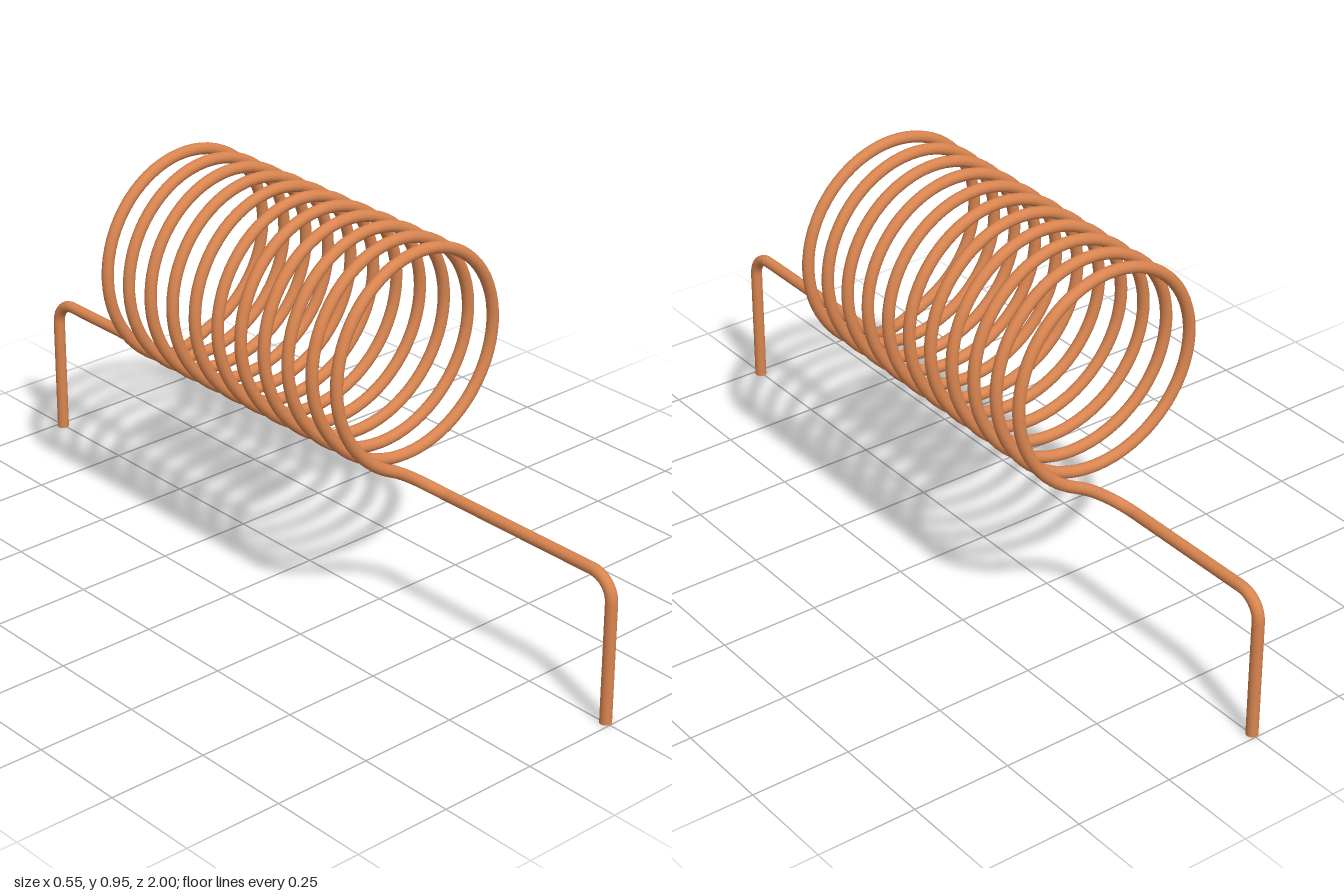
import * as THREE from 'three';

const WIRE = 0.0145;     // wire radius
const R = 0.26;          // coil radius
const AXIS_Y = 0.671;    // height of the coil axis
const TURNS = 11;
const Z_FRONT = 0.404, Z_BACK = -0.492;  // coil ends
const JOIN = THREE.MathUtils.degToRad(24); // angle trimmed from each coil end for the lead
const LEAD_Y = 0.363, LEG_Z = 0.985, BEND = 0.06;

// Point on the helix; angle 0 is the bottom of the front turn
function helixPoint(a, target = new THREE.Vector3()) {
  const t = a / (TURNS * Math.PI * 2);
  return target.set(-R * Math.sin(a), AXIS_Y - R * Math.cos(a), Z_FRONT + (Z_BACK - Z_FRONT) * t);
}

class Helix extends THREE.Curve {
  getPoint(t, target) {
    return helixPoint(JOIN + t * (TURNS * Math.PI * 2 - 2 * JOIN), target);
  }
}

export function createModel() {
  const group = new THREE.Group();
  const copper = new THREE.MeshStandardMaterial({ color: 0xd98550 });
  const v = (x, y, z) => new THREE.Vector3(x, y, z);

  const addTube = (curve, segments, name, parent) => {
    const mesh = new THREE.Mesh(new THREE.TubeGeometry(curve, segments, WIRE, 14), copper);
    mesh.name = name;
    parent.add(mesh);
  };

  // Coil winding
  addTube(new Helix(), TURNS * 64, 'coil', group);

  // Lead: leg up, bend, straight run, then a sweep into the coil end
  const addLead = (name, s, zCoil, joinAngle) => {
    const lead = new THREE.Group();
    lead.name = name;
    const x = s * 0.002;
    const legTop = v(x, LEAD_Y - BEND, s * LEG_Z);
    const runStart = v(x, LEAD_Y, s * (LEG_Z - BEND));
    const runEnd = v(x, LEAD_Y, zCoil + s * 0.075);
    const join = helixPoint(joinAngle);
    const beforeJoin = join.clone().add(v(s * Math.cos(JOIN) * 0.05, -Math.sin(JOIN) * 0.05, s * 0.003));

    addTube(new THREE.LineCurve3(v(x, 0, s * LEG_Z), legTop), 1, 'leg', lead);
    const k = BEND * 0.45;
    addTube(new THREE.CubicBezierCurve3(legTop, v(x, LEAD_Y - k, s * LEG_Z),
      v(x, LEAD_Y, s * (LEG_Z - k)), runStart), 10, 'legBend', lead);
    addTube(new THREE.LineCurve3(runStart, runEnd), 1, 'run', lead);
    addTube(new THREE.CubicBezierCurve3(runEnd, v(x, LEAD_Y, zCoil + s * 0.005),
      beforeJoin, join), 18, 'coilBend', lead);

    // Cut end of the wire
    const cap = new THREE.Mesh(new THREE.CircleGeometry(WIRE, 14), copper);
    cap.name = 'legEnd';
    cap.rotation.x = Math.PI / 2;
    cap.position.set(x, 0, s * LEG_Z);
    lead.add(cap);
    group.add(lead);
  };
  addLead('frontLead', 1, Z_FRONT, JOIN);
  addLead('backLead', -1, Z_BACK, TURNS * Math.PI * 2 - JOIN);

  return group;
}
